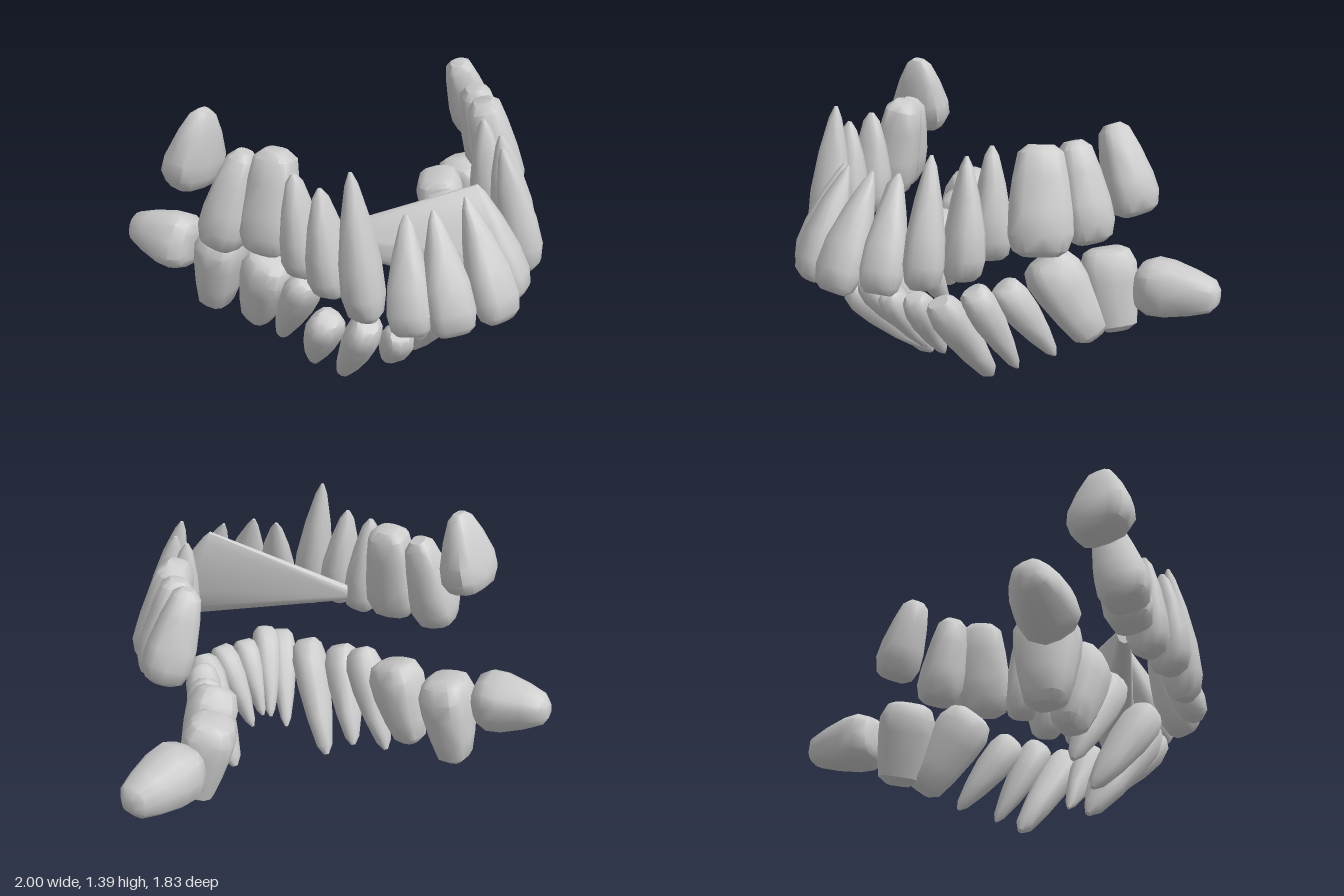
import * as THREE from 'three';
import { ConvexGeometry } from 'three/addons/geometries/ConvexGeometry.js';
import { toCreasedNormals } from 'three/addons/utils/BufferGeometryUtils.js';

// Each tooth: crown tip, root tip, half width along the arch, half depth, root thickness.
// Both rows run from the model's right (-x) round the front to its left (+x).
const UPPER = [
  [[-0.86, 1.02, -0.39], [-0.80, 1.39, -0.32], 0.10, 0.15, 0.3],
  [[-0.83, 0.77, -0.20], [-0.69, 1.22, -0.17], 0.11, 0.12, 0.45],
  [[-0.69, 0.78, -0.02], [-0.60, 1.25, -0.05], 0.125, 0.115, 0.6],
  [[-0.61, 0.73, 0.17], [-0.63, 1.22, 0.14], 0.085, 0.10, 0.3],
  [[-0.58, 0.71, 0.35], [-0.60, 1.21, 0.30], 0.09, 0.105, 0.25],
  [[-0.52, 0.65, 0.52], [-0.53, 1.32, 0.43], 0.09, 0.10, 0.2],
  [[-0.43, 0.64, 0.72], [-0.33, 1.11, 0.54], 0.10, 0.08, 0.2],
  [[-0.27, 0.64, 0.82], [-0.235, 1.13, 0.60], 0.11, 0.09, 0.15],
  [[-0.05, 0.65, 0.86], [-0.065, 1.14, 0.60], 0.11, 0.09, 0.15],
  [[0.13, 0.66, 0.75], [0.04, 1.14, 0.54], 0.10, 0.08, 0.2],
  [[0.28, 0.69, 0.63], [0.21, 1.25, 0.50], 0.09, 0.09, 0.2],
  [[0.36, 0.71, 0.46], [0.30, 1.24, 0.38], 0.085, 0.10, 0.2],
  [[0.35, 0.76, 0.28], [0.31, 1.26, 0.24], 0.09, 0.09, 0.25],
  [[0.53, 0.79, 0.16], [0.44, 1.26, 0.07], 0.15, 0.115, 0.55],
  [[0.62, 0.82, -0.07], [0.50, 1.26, -0.07], 0.115, 0.115, 0.5],
  [[0.70, 0.92, -0.29], [0.55, 1.31, -0.27], 0.115, 0.11, 0.45],
];
const LOWER = [
  [[-0.77, 0.56, -0.60], [-0.95, 0.60, -0.90], 0.14, 0.13, 0.38],
  [[-0.65, 0.66, -0.50], [-0.70, 0.22, -0.57], 0.12, 0.14, 0.5],
  [[-0.56, 0.62, -0.20], [-0.60, 0.22, -0.34], 0.13, 0.12, 0.45],
  [[-0.52, 0.59, 0.03], [-0.52, 0.14, -0.24], 0.085, 0.09, 0.3],
  [[-0.54, 0.50, 0.24], [-0.45, 0.08, -0.05], 0.085, 0.095, 0.3],
  [[-0.42, 0.50, 0.38], [-0.34, 0.01, 0.03], 0.085, 0.10, 0.35],
  [[-0.35, 0.50, 0.53], [-0.20, 0.13, 0.20], 0.075, 0.08, 0.25],
  [[-0.25, 0.55, 0.52], [-0.13, 0.19, 0.24], 0.07, 0.07, 0.25],
  [[-0.11, 0.52, 0.50], [-0.10, 0.19, 0.27], 0.066, 0.07, 0.25],
  [[0.04, 0.54, 0.47], [-0.02, 0.17, 0.23], 0.068, 0.075, 0.25],
  [[0.16, 0.54, 0.43], [0.16, 0.07, 0.09], 0.085, 0.085, 0.4],
  [[0.23, 0.58, 0.29], [0.31, 0.15, 0.07], 0.08, 0.085, 0.25],
  [[0.28, 0.58, 0.15], [0.41, 0.20, -0.08], 0.085, 0.09, 0.25],
  [[0.33, 0.67, -0.07], [0.53, 0.29, -0.22], 0.135, 0.12, 0.55],
  [[0.48, 0.69, -0.34], [0.58, 0.31, -0.32], 0.135, 0.12, 0.6],
  [[0.63, 0.54, -0.40], [0.99, 0.53, -0.54], 0.13, 0.135, 0.42],
];
// One upper incisor is drawn out backwards into a long spike
const SPIKE_TOOTH = 9;
const SPIKE_TIP = new THREE.Vector3(-0.5, 0.86, 0.13);

const KINDS = ['wisdomTooth', 'molar', 'molar', 'premolar', 'premolar', 'canine', 'incisor', 'incisor'];
const SIDES = 12;

// Cross-section rings from the crown tip to the root tip: [position, width scale, depth scale]
const slimRings = (root) => [[0, 0.58, 0.38], [0.05, 0.85, 0.76], [0.18, 1, 1], [0.4, 0.94, 0.96],
  [0.68, root / 2 + 0.55, root / 2 + 0.58], [0.92, root + 0.1, root + 0.1], [1, root * 0.4, root * 0.4]];
const molarRings = (root) => [[0, 0.55, 0.5], [0.05, 0.82, 0.8], [0.2, 1, 1], [0.4, 0.97, 0.97],
  [0.7, root / 2 + 0.56, root / 2 + 0.56], [0.93, root + 0.13, root + 0.13], [1, root * 0.7, root * 0.7]];

function toothPoints([crown, root, width, depth, rootSize], along, isMolar) {
  const a = new THREE.Vector3(...crown), b = new THREE.Vector3(...root);
  const axis = b.clone().sub(a).normalize();
  const out = axis.clone().cross(along).normalize();
  const side = out.clone().cross(axis).normalize();
  const power = isMolar ? 0.7 : 0.85; // molars are squarer in section
  const points = [];
  for (const [t, w, d] of isMolar ? molarRings(rootSize) : slimRings(rootSize)) {
    for (let i = 0; i < SIDES; i++) {
      const angle = (i / SIDES) * Math.PI * 2;
      const c = Math.cos(angle), s = Math.sin(angle);
      const x = Math.sign(c) * Math.abs(c) ** power * width * w;
      const y = Math.sign(s) * Math.abs(s) ** power * depth * d;
      points.push(a.clone().lerp(b, t).addScaledVector(side, x).addScaledVector(out, y));
    }
  }
  return points;
}

// A small ring of points closing the end of the spike
function spikePoints() {
  const points = [];
  for (let i = 0; i < 8; i++) {
    const angle = (i / 8) * Math.PI * 2;
    const r = 0.03 * Math.cos(angle);
    points.push(SPIKE_TIP.clone().add(new THREE.Vector3(r * 0.6, 0.04 * Math.sin(angle), -r)));
  }
  return points;
}

function makeRow(teeth, rowName, material) {
  const row = new THREE.Group();
  row.name = rowName + 'Teeth';
  teeth.forEach((tooth, i) => {
    // The width of each tooth follows the line between its neighbours
    const previous = teeth[Math.max(i - 1, 0)][0];
    const next = teeth[Math.min(i + 1, teeth.length - 1)][0];
    const along = new THREE.Vector3(...next).sub(new THREE.Vector3(...previous)).normalize();
    const order = Math.min(i, 15 - i);
    const points = toothPoints(tooth, along, order < 3);
    const spiked = rowName === 'upper' && i === SPIKE_TOOTH;
    if (spiked) points.push(...spikePoints());
    const geometry = toCreasedNormals(new ConvexGeometry(points), 0.75);
    const mesh = new THREE.Mesh(geometry, material);
    const kind = spiked ? 'spikedIncisor' : KINDS[order];
    mesh.name = `${rowName} ${i < 8 ? 'right' : 'left'} ${kind}`;
    row.add(mesh);
  });
  return row;
}

export function createModel() {
  const model = new THREE.Group();
  model.name = 'teeth';
  const enamel = new THREE.MeshStandardMaterial({ color: 0xcccccc });
  enamel.name = 'enamel grey';
  model.add(makeRow(UPPER, 'upper', enamel), makeRow(LOWER, 'lower', enamel));
  return model;
}
